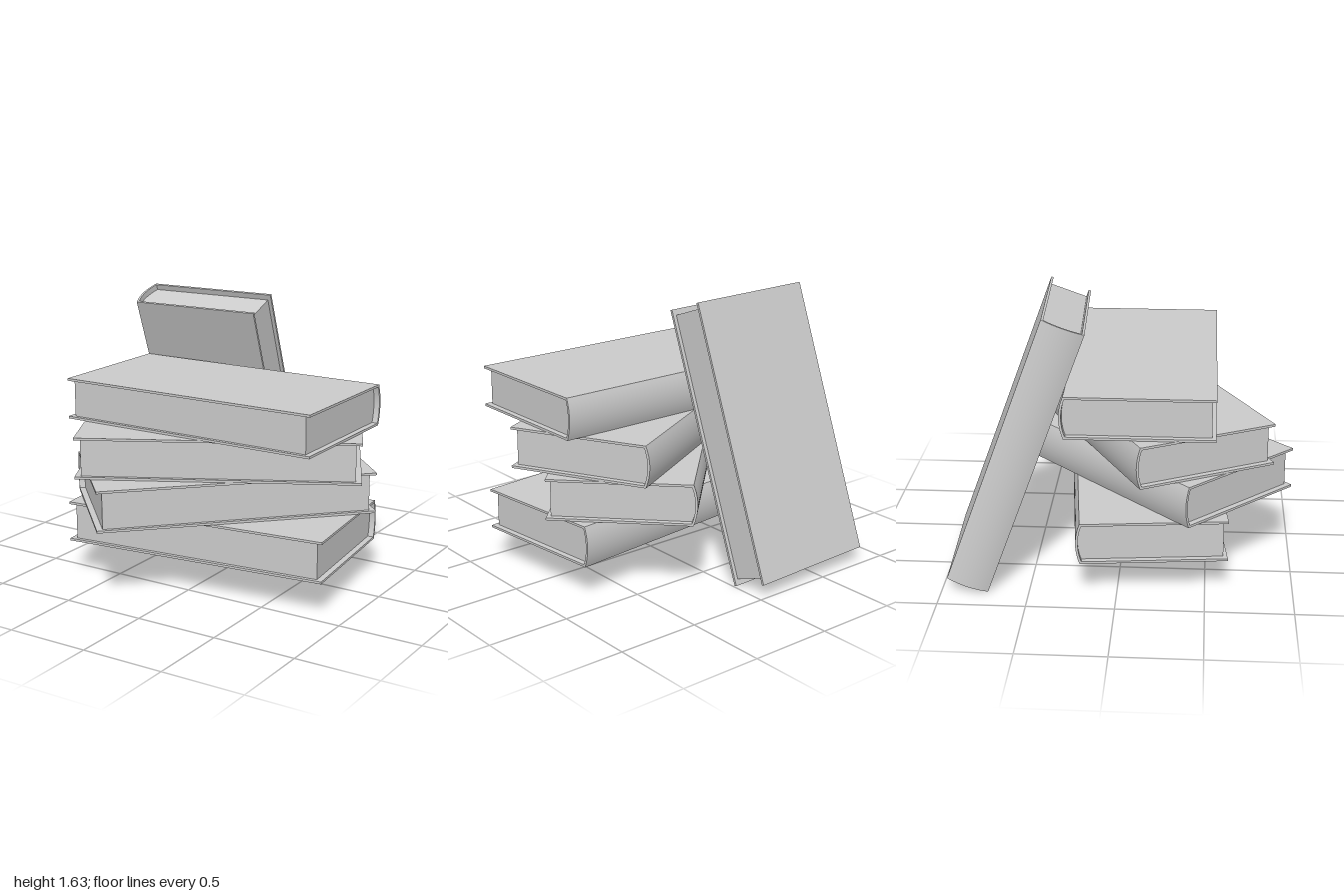
import * as THREE from 'three';
import { toCreasedNormals } from 'three/addons/utils/BufferGeometryUtils.js';

const LENGTH = 1.644, THICK = 0.246, BOARD = 0.014;
const FORE = -0.432, HINGE = 0.405, BULGE = 0.024; // fore edge, spine hinge, spine rounding
const HALF = THICK / 2, INNER = HALF - BOARD;

// Spine arc: outer radius and centre, shared by cover and pages
const R = (HALF * HALF + BULGE * BULGE) / (2 * BULGE);
const CENTRE = HINGE + BULGE - R;
const RI = R - BOARD;
const OUT_ANGLE = Math.asin(HALF / R), IN_ANGLE = Math.asin(INNER / RI);

const material = new THREE.MeshStandardMaterial({ color: 0xcccccc });

// Extrude a cross-section along x, centred, with the spine towards -z
function extrudeAlongX(shape, length) {
  const g = new THREE.ExtrudeGeometry(shape, { depth: length, bevelEnabled: false, curveSegments: 6 });
  g.translate(0, 0, -length / 2);
  g.rotateY(Math.PI / 2);
  return toCreasedNormals(g, 0.3);
}

// C-shaped case: two boards joined by a rounded spine
function coverGeometry() {
  const s = new THREE.Shape();
  s.moveTo(FORE, -HALF);
  s.lineTo(HINGE, -HALF);
  s.absarc(CENTRE, 0, R, -OUT_ANGLE, OUT_ANGLE, false);
  s.lineTo(FORE, HALF);
  s.lineTo(FORE, INNER);
  s.absarc(CENTRE, 0, RI, IN_ANGLE, -IN_ANGLE, true);
  s.lineTo(FORE, -INNER);
  s.closePath();
  return extrudeAlongX(s, LENGTH);
}

// Page block, set back from the boards on three sides
function pagesGeometry() {
  const edge = FORE + 0.023;
  const s = new THREE.Shape();
  s.moveTo(edge, INNER);
  s.lineTo(edge, -INNER);
  s.absarc(CENTRE, 0, RI, -IN_ANGLE, IN_ANGLE, false);
  s.closePath();
  return extrudeAlongX(s, LENGTH - 0.07);
}

export function createModel() {
  const model = new THREE.Group();
  model.name = 'bookStack';
  const coverGeo = coverGeometry(), pagesGeo = pagesGeometry();

  function makeBook(name) {
    const book = new THREE.Group();
    book.name = name;
    const cover = new THREE.Mesh(coverGeo, material);
    cover.name = 'cover';
    const pages = new THREE.Mesh(pagesGeo, material);
    pages.name = 'pages';
    book.add(cover, pages);
    return book;
  }

  // Four books lying flat, each turned about the same axis
  [5.9, 44.7, 27.7, 0].forEach((turn, i) => {
    const book = makeBook('stackedBook' + (i + 1));
    book.position.set(0, 0.327 + 0.247 * i, 0.113);
    book.rotation.y = THREE.MathUtils.degToRad(turn);
    model.add(book);
  });

  // Fifth book stood on end, leaning against the back of the stack
  const upright = makeBook('uprightBook');
  upright.quaternion.setFromRotationMatrix(new THREE.Matrix4().makeBasis(
    new THREE.Vector3(0, 1, 0), new THREE.Vector3(0, 0, 1), new THREE.Vector3(1, 0, 0)));
  const lean = new THREE.Group();
  lean.name = 'leaningBook';
  lean.add(upright);
  lean.rotation.set(THREE.MathUtils.degToRad(20.2), THREE.MathUtils.degToRad(2.4), 0, 'YXZ');
  lean.position.set(-0.433, 0.816, -0.583);
  model.add(lean);

  return model;
}
